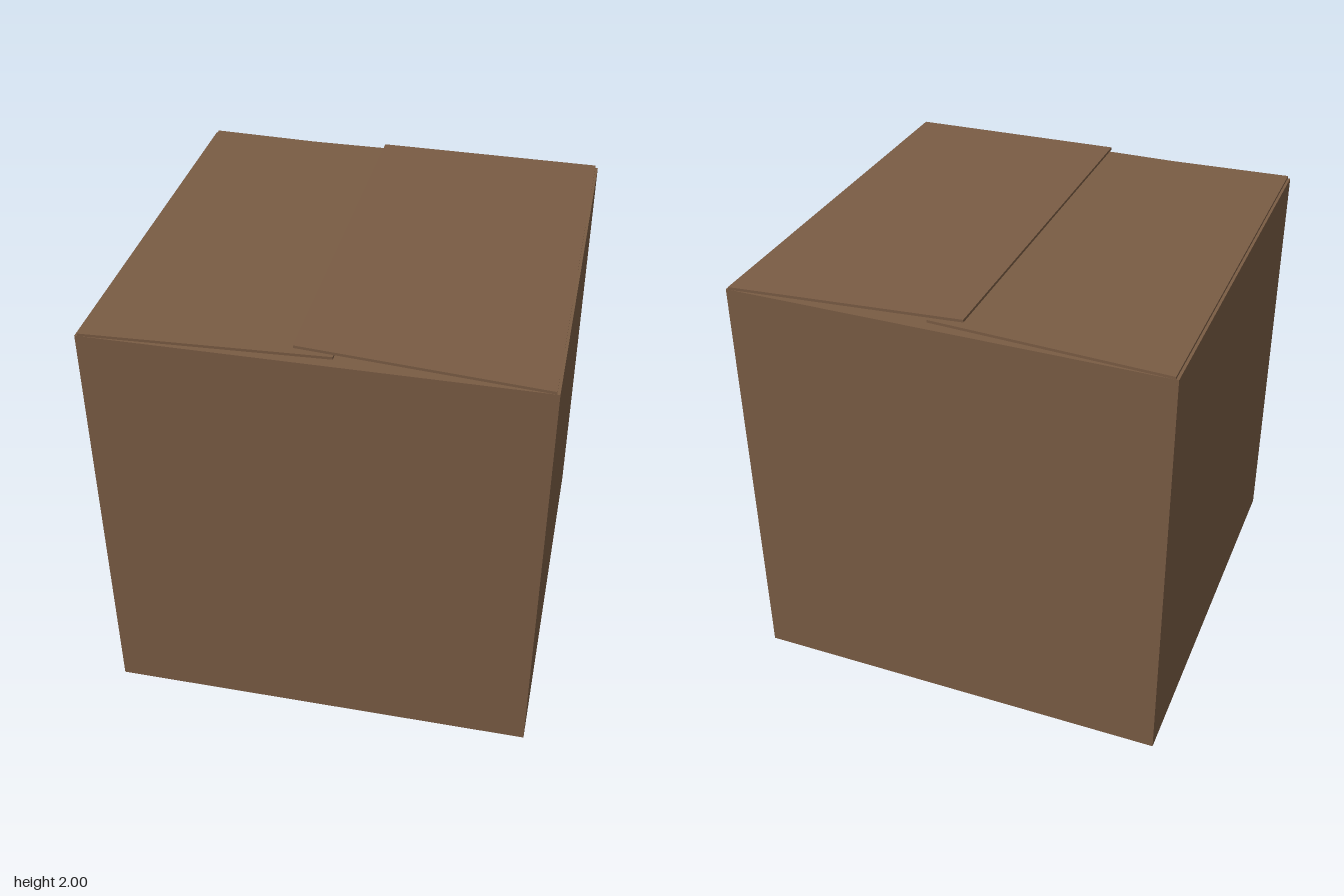
import * as THREE from 'three';

const HALF = 0.972;   // half width of the box
const WALL_H = 1.955; // height of the walls
const T = 0.012;      // cardboard thickness

export function createModel() {
  const model = new THREE.Group();
  model.name = 'cardboardBox';
  const cardboard = new THREE.MeshStandardMaterial({ color: 0x7a5c44 });
  cardboard.name = 'cardboardBrown';

  function panel(name, size, pos) {
    const mesh = new THREE.Mesh(new THREE.BoxGeometry(...size), cardboard);
    mesh.name = name;
    mesh.position.set(...pos);
    model.add(mesh);
  }

  // Tapered flap, hinged at its origin and reaching along +x before turning
  function flap(name, { length, hinge, tip, pos, turn, tilt = 0 }) {
    const shape = new THREE.Shape([
      new THREE.Vector2(0, -hinge),
      new THREE.Vector2(length, -tip),
      new THREE.Vector2(length, tip),
      new THREE.Vector2(0, hinge),
    ]);
    const geometry = new THREE.ExtrudeGeometry(shape, { depth: T, bevelEnabled: false });
    geometry.rotateX(-Math.PI / 2);
    geometry.rotateZ(tilt);
    const mesh = new THREE.Mesh(geometry, cardboard);
    mesh.name = name;
    mesh.position.set(...pos);
    mesh.rotation.y = turn;
    model.add(mesh);
  }

  // Floor and four walls
  const inner = 2 * (HALF - T);
  panel('floor', [inner, T, inner], [0, T / 2, 0]);
  for (const s of [1, -1]) {
    const side = s > 0 ? 'left' : 'right';
    const end = s > 0 ? 'front' : 'back';
    panel(side + 'Wall', [T, WALL_H, inner], [s * (HALF - T / 2), WALL_H / 2, 0]);
    panel(end + 'Wall', [2 * HALF, WALL_H, T], [0, WALL_H / 2, s * (HALF - T / 2)]);

    // Inner flaps folded flat from the front and back
    flap(end + 'InnerFlap', {
      length: 0.95, hinge: 0.955, tip: 0.9,
      pos: [0, WALL_H - T, s * (HALF - T)], turn: s * Math.PI / 2,
    });
  }

  // Outer flaps: one lies flat, the other overlaps it at a slight tilt
  flap('rightOuterFlap', {
    length: 1.04, hinge: HALF, tip: 0.922, pos: [-0.96, WALL_H, 0], turn: 0,
  });
  flap('leftOuterFlap', {
    length: 1.04, hinge: HALF, tip: 0.922, pos: [0.96, WALL_H, 0], turn: Math.PI, tilt: 0.032,
  });

  return model;
}
